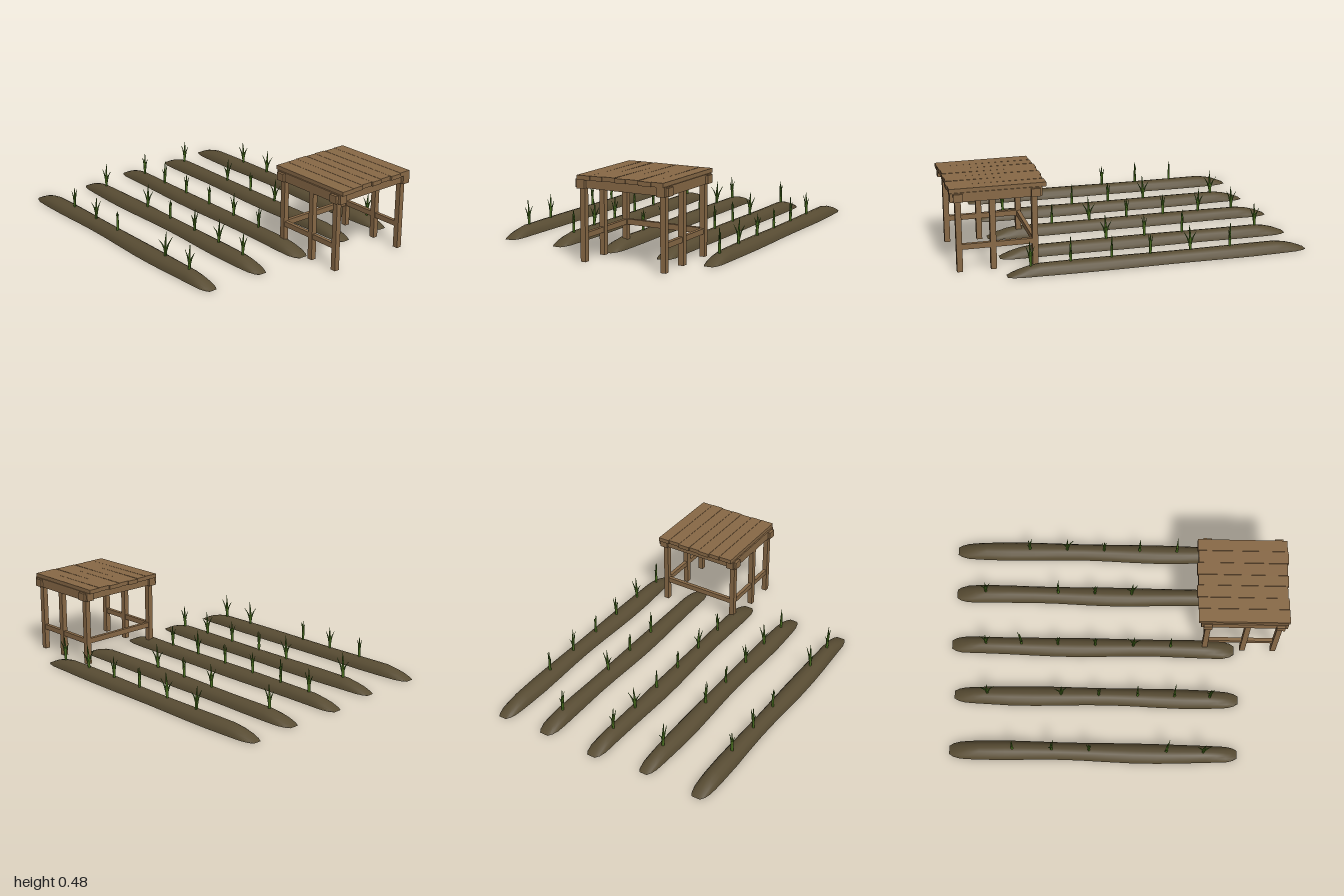
import * as THREE from 'three';
import { toCreasedNormals } from 'three/addons/utils/BufferGeometryUtils.js';

const material = (name, color, side = THREE.FrontSide) => {
  const m = new THREE.MeshStandardMaterial({ color, side });
  m.name = name;
  return m;
};
const wood = material('wood', 0x886946);
const soil = material('soil', 0x584c33, THREE.DoubleSide);
const leaf = material('leaf green', 0x466a1c);

function box(parent, name, sx, sy, sz, x, y, z) {
  const mesh = new THREE.Mesh(new THREE.BoxGeometry(sx, sy, sz), wood);
  mesh.name = name;
  mesh.position.set(x, y, z);
  parent.add(mesh);
  return mesh;
}

// soil ridge: open half-round section swept along x, tapering at both ends
function ridge(x0, x1, z, phase) {
  const ends = [[0, 0.45, 0], [0.025, 0.72, 0.24], [0.065, 0.9, 0.55], [0.12, 0.94, 0.83], [0.18, 0.96, 1]];
  const inner = 9;
  const stations = ends.map(([d, w, h]) => [x0 + d, w, h]);
  for (let i = 1; i < inner; i++) stations.push([x0 + 0.18 + ((x1 - x0 - 0.36) * i) / inner, 1, 1]);
  for (const [d, w, h] of [...ends].reverse()) stations.push([x1 - d, w, h]);

  const around = 8, cols = stations.length;
  const geo = new THREE.PlaneGeometry(1, 1, cols - 1, around);
  const pos = geo.attributes.position;
  for (let k = 0; k < pos.count; k++) {
    const [x, w, h] = stations[k % cols];
    const a = (1 - Math.floor(k / cols) / around) * Math.PI;
    const half = w * (0.056 + 0.004 * Math.sin(x * 7 + phase));
    const y = Math.sin(a) * 0.055 * h;
    pos.setXYZ(k, x, y, z + Math.cos(a) * half + 0.003 * Math.sin(x * 5 + phase));
  }
  const mesh = new THREE.Mesh(toCreasedNormals(geo, 0.7), soil);
  mesh.name = 'soilRidge';
  return mesh;
}

// one blade: a tapered stalk that bends outward
function blade(height, reach, angle, base, radius) {
  const geo = new THREE.CylinderGeometry(radius * 0.2, radius, height, 5, 3);
  geo.translate(0, height / 2, 0);
  const pos = geo.attributes.position;
  for (let i = 0; i < pos.count; i++) {
    const t = pos.getY(i) / height;
    const swell = 1 + 0.6 * Math.sin(t * Math.PI);
    pos.setX(i, pos.getX(i) * swell + reach * t * t);
    pos.setZ(i, pos.getZ(i) * swell);
  }
  geo.computeVertexNormals();
  const mesh = new THREE.Mesh(geo, leaf);
  mesh.name = 'blade';
  mesh.position.y = base;
  mesh.rotation.y = angle;
  return mesh;
}

// upright stalk with a few side leaves fanned in one direction
function sprout(x, z, turn, reach) {
  const plant = new THREE.Group();
  plant.name = 'sprout';
  plant.add(blade(0.11 + reach, 0.2 * reach, turn, 0.045, 0.0075));
  plant.add(blade(0.115, reach, turn + 0.1, 0.045, 0.006));
  plant.add(blade(0.085, reach * 0.85, turn + Math.PI, 0.07, 0.005));
  plant.position.set(x, 0, z);
  return plant;
}

function buildTable() {
  const table = new THREE.Group();
  table.name = 'table';

  // plank top
  const edges = [-0.535, -0.463, -0.387, -0.312, -0.245, -0.17, -0.1, -0.018];
  const shifts = [0.0, 0.005, -0.003, 0.002, -0.004, 0.003, 0.006];
  for (let i = 0; i < 7; i++) {
    const width = edges[i + 1] - edges[i] - 0.002;
    const plank = box(table, 'plank', 0.525, 0.024, width, 0.728 + shifts[i], 0.464, (edges[i] + edges[i + 1]) / 2);
    plank.rotation.y = shifts[i] * 0.8;
    plank.rotation.z = -shifts[i] * 0.6;
  }
  // solid core between the beams
  box(table, 'underBoard', 0.42, 0.034, 0.47, 0.736, 0.435, -0.275);

  // frame beams, crossing past each other at the corners
  for (const z of [-0.515, -0.035]) box(table, 'longBeam', 0.5, 0.052, 0.048, 0.738, 0.428, z);
  for (const x of [0.526, 0.946]) box(table, 'crossBeam', 0.05, 0.045, 0.558, x, 0.427, -0.274);

  // legs and stretchers
  for (const z of [-0.515, -0.03]) {
    for (const x of [0.53, 0.76, 0.945]) box(table, 'leg', 0.032, 0.4, 0.031, x, 0.205, z);
    box(table, 'longStretcher', 0.415, 0.03, 0.022, 0.7375, 0.145, z);
  }
  box(table, 'crossStretcher', 0.022, 0.031, 0.485, 0.53, 0.145, -0.2725);
  return table;
}

export function createModel() {
  const model = new THREE.Group();
  model.name = 'gardenPlot';

  // plants: position along the row, turn, leaf reach
  const rows = [
    { x0: -1, x1: 0.71, z: -0.64, plants: [[-0.55, -2.2, 0.03], [-0.32, 0.15, 0.042], [-0.09, 0, 0.014], [0.13, 1.3, 0.024], [0.36, 1.35, 0.04], [0.58, 0.3, 0.03]] },
    { x0: -0.99, x1: 0.7, z: -0.35, plants: [[-0.81, 0.1, 0.032], [-0.365, 1.4, 0.035], [-0.14, 0, 0.016], [0.085, 0.25, 0.04]] },
    { x0: -1, x1: 0.71, z: -0.015, plants: [[-0.79, -0.1, 0.032], [-0.575, 2, 0.038], [-0.355, 0.3, 0.018], [-0.13, 0, 0.016], [0.1, -0.2, 0.042], [0.325, 1.2, 0.018]] },
    { x0: -0.965, x1: 0.73, z: 0.3, plants: [[-0.765, 0, 0.045], [-0.325, 0.15, 0.042], [-0.1, 0, 0.014], [0.13, 1.4, 0.026], [0.35, 1.3, 0.038], [0.56, 0.3, 0.026]] },
    { x0: -0.975, x1: 0.72, z: 0.64, plants: [[-0.6, 1.4, 0.018], [-0.37, 1.0, 0.028], [-0.15, -0.2, 0.016], [0.305, 1.05, 0.042], [0.52, 0, 0.042]] },
  ];
  rows.forEach(({ x0, x1, z, plants }, i) => {
    const row = new THREE.Group();
    row.name = 'cropRow';
    row.add(ridge(x0, x1, z, i * 1.7));
    for (const [x, turn, reach] of plants) row.add(sprout(x, z, turn, reach));
    model.add(row);
  });

  model.add(buildTable());
  return model;
}
